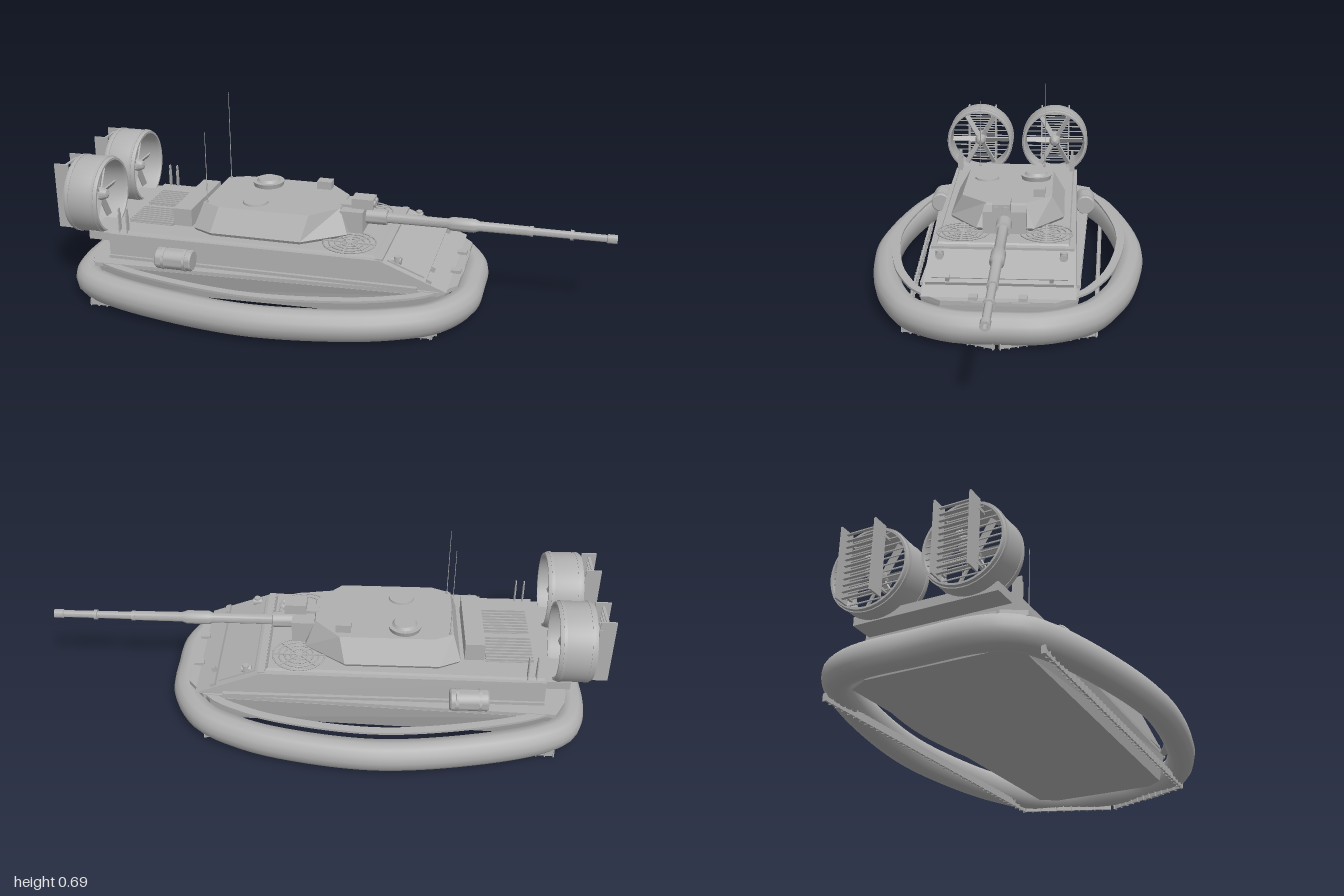
import * as THREE from 'three';
import { toCreasedNormals } from 'three/addons/utils/BufferGeometryUtils.js';

export function createModel() {
  const model = new THREE.Group();
  const grey = new THREE.MeshStandardMaterial({ color: 0xb0b0b0, side: THREE.DoubleSide });
  grey.name = 'plain grey';

  const add = (name, geo, parent = model) => {
    const mesh = new THREE.Mesh(geo, grey);
    mesh.name = name;
    parent.add(mesh);
    return mesh;
  };
  // box given by its limits on each axis
  const box = (name, x0, x1, y0, y1, z0, z1, parent) => {
    const m = add(name, new THREE.BoxGeometry(x1 - x0, y1 - y0, z1 - z0), parent);
    m.position.set((x0 + x1) / 2, (y0 + y1) / 2, (z0 + z1) / 2);
    return m;
  };
  // round part turned about the x axis, profile as [x, radius]
  const turned = (name, profile, y, z, parent, segments = 24) => {
    const geo = new THREE.LatheGeometry(profile.map(([x, r]) => new THREE.Vector2(r, x)), segments);
    geo.rotateZ(-Math.PI / 2);
    const m = add(name, toCreasedNormals(geo, 0.6), parent);
    m.position.set(0, y, z);
    return m;
  };
  const rod = (name, x0, x1, r, y, z, parent) => turned(name, [[x0, 0], [x0, r], [x1, r], [x1, 0]], y, z, parent, 16);
  const disc = (name, x, z, y0, y1, r0, r1, seg = 24) => {
    const m = add(name, new THREE.CylinderGeometry(r1, r0, y1 - y0, seg));
    m.position.set(x, (y0 + y1) / 2, z);
    return m;
  };
  // solid between two mirrored outlines, each half listed rear to front
  const loft = (name, lower, y0, upper, y1) => {
    const full = (half, y) => [...half, ...half.map(([x, z]) => [x, -z]).reverse()].map(([x, z]) => [x, y, z]);
    const a = full(lower, y0), b = full(upper, y1), n = a.length, p = [];
    for (let i = 0; i < n; i++) {
      const j = (i + 1) % n;
      p.push(...a[i], ...a[j], ...b[j], ...a[i], ...b[j], ...b[i]);
      if (i > 0 && i < n - 1) p.push(...b[0], ...b[i], ...b[j], ...a[0], ...a[j], ...a[i]);
    }
    const geo = new THREE.BufferGeometry();
    geo.setAttribute('position', new THREE.Float32BufferAttribute(p, 3));
    geo.computeVertexNormals();
    return add(name, geo);
  };

  // oval path shared by skirt and rim
  const half = [[0.495, 0.155], [0.412, 0.296], [0.285, 0.371], [0.13, 0.422], [-0.2, 0.465],
    [-0.55, 0.42], [-0.78, 0.35], [-0.856, 0.296], [-0.892, 0.2]];
  const loop = [[0.505, 0], ...half, [-0.895, 0], ...half.map(([x, z]) => [x, -z]).reverse()];
  const path = new THREE.CatmullRomCurve3(loop.map(([x, z]) => new THREE.Vector3(x, 0, z)), true);
  // closed cross-section [out, y] carried round the path
  const sweep = (name, section, crease) => {
    const pos = [], idx = [], n = section.length, steps = 112;
    for (let i = 0; i < steps; i++) {
      const c = path.getPointAt(i / steps), t = path.getTangentAt(i / steps);
      for (let j = 0; j < n; j++) {
        const [out, y] = section[j];
        pos.push(c.x + t.z * out, y, c.z - t.x * out);
        const k = (j + 1) % n, s = ((i + 1) % steps) * n, a = i * n;
        idx.push(a + j, a + k, s + k, a + j, s + k, s + j);
      }
    }
    const geo = new THREE.BufferGeometry();
    geo.setAttribute('position', new THREE.Float32BufferAttribute(pos, 3));
    geo.setIndex(idx);
    geo.computeVertexNormals();
    add(name, toCreasedNormals(geo, crease));
  };

  // inflated skirt and thin rim floating above it
  sweep('skirt', [[0.05, 0.065], [0.045, 0.09], [0.028, 0.11], [0, 0.118], [-0.028, 0.113],
    [-0.044, 0.09], [-0.044, 0.04], [-0.025, 0.017], [0, 0.012], [0.028, 0.018], [0.045, 0.04]], 0.9);
  sweep('skirtRim', [[-0.022, 0.137], [-0.022, 0.145], [-0.052, 0.145], [-0.052, 0.137]], 0.5);

  // straight ribbed flaps under the skirt
  const flap = (x0, z0, x1, z1) => {
    const length = Math.hypot(x1 - x0, z1 - z0), count = Math.round(length / 0.03);
    const g = new THREE.Group();
    g.name = 'groundFlap';
    g.position.set((x0 + x1) / 2, 0, (z0 + z1) / 2);
    g.rotation.y = Math.atan2(z0 - z1, x1 - x0);
    model.add(g);
    box('flapPlate', -length / 2, length / 2, 0.002, 0.028, -0.003, 0.003, g);
    for (let i = 0; i <= count; i++) {
      const x = (i / count - 0.5) * length;
      box('flapRib', x - 0.002, x + 0.002, 0, 0.026, -0.008, 0.008, g);
    }
  };
  for (const s of [1, -1]) {
    flap(0.53, s * 0.01, 0.41, s * 0.325);
    flap(0.41, s * 0.325, -0.82, s * 0.37);
  }

  // hull
  loft('lowerHull', [[-0.83, 0.22], [-0.79, 0.295], [0.39, 0.25], [0.43, 0.19]], 0.035,
    [[-0.845, 0.25], [-0.8, 0.322], [0.4, 0.268], [0.44, 0.2]], 0.134);
  const deck = [[-0.86, 0.25], [-0.82, 0.322], [0.42, 0.265], [0.48, 0.19]];
  loft('floorDeck', deck, 0.132, deck, 0.147);
  loft('hull', [[-0.785, 0.265], [0.45, 0.258]], 0.147, [[-0.785, 0.262], [0.215, 0.255]], 0.238);
  loft('deckPlate', [[-0.78, 0.25], [0.2, 0.235]], 0.237, [[-0.78, 0.245], [0.19, 0.23]], 0.247);
  box('deckBeam', 0.2, 0.225, 0.222, 0.243, -0.25, 0.25);
  const glacis = new THREE.Group();
  glacis.name = 'glacisFittings';
  glacis.position.set(0.33, 0.195, 0);
  glacis.rotation.z = -Math.atan2(0.091, 0.235);
  model.add(glacis);
  box('glacisPanel', -0.1, 0.04, -0.006, 0.004, -0.23, 0.23, glacis);
  box('waveBreaker', 0.05, 0.07, -0.008, 0.01, -0.25, 0.25, glacis);
  for (const s of [1, -1]) {
    box('towHook', 0.05, 0.065, 0, 0.028, s * 0.175 - 0.007, s * 0.175 + 0.007, glacis);
    box('noseStep', 0.44, 0.475, 0.14, 0.158, s * 0.083 - 0.015, s * 0.083 + 0.015);
    rod('headlight', 0.25, 0.285, 0.013, 0.228, s * 0.213);
    disc('deckLamp', 0.27, s * 0.215, 0.21, 0.245, 0.014, 0.012, 12);
    // side strips, drums and exhaust plates
    box('sideStrip', -0.785, 0.35, 0.147, 0.158, s * 0.265 - 0.008, s * 0.265 + 0.008);
    turned('sideDrum', [[-0.585, 0], [-0.585, 0.034], [-0.58, 0.038], [-0.455, 0.038], [-0.45, 0.034], [-0.45, 0]], 0.182, s * 0.296);
    for (const x of [-0.56, -0.48]) turned('drumStrap', [[x, 0.036], [x, 0.04], [x + 0.01, 0.04], [x + 0.01, 0.036]], 0.182, s * 0.296);
    for (const x of [-0.75, -0.72]) {
      box('exhaustPlate', x - 0.002, x + 0.002, 0.24, 0.31, s * 0.24 - 0.01, s * 0.24 + 0.01);
      box('exhaustTip', x - 0.002, x + 0.002, 0.31, 0.332, s * 0.24 - 0.006, s * 0.24 + 0.006);
    }
    // engine grille
    box('grilleTray', -0.75, -0.58, 0.246, 0.25, s * 0.088 - 0.072, s * 0.088 + 0.072);
    for (let i = 0; i < 8; i++) {
      const z = s * (0.022 + i * 0.0188);
      box('grilleSlat', -0.75, -0.58, 0.249, 0.258, z - 0.003, z + 0.003);
    }
    // round deck intake with spokes
    for (const r of [0.097, 0.076, 0.055, 0.034]) {
      const ring = add('intakeRing', new THREE.TorusGeometry(r - 0.003, 0.003, 6, 32));
      ring.rotation.x = Math.PI / 2;
      ring.position.set(0.085, 0.25, s * 0.15);
    }
    disc('intakeHub', 0.085, s * 0.15, 0.246, 0.255, 0.016, 0.014, 12);
    for (let i = 0; i < 4; i++) {
      const spoke = box('intakeSpoke', -0.094, 0.094, 0, 0.005, -0.003, 0.003);
      spoke.position.set(0.085, 0.25, s * 0.15);
      spoke.rotation.y = i * Math.PI / 4;
    }
  }

  // turret
  const shoulder = [[-0.49, 0.175], [-0.415, 0.212], [-0.08, 0.212], [0.065, 0.105]];
  loft('turretBase', [[-0.48, 0.17], [-0.41, 0.205], [-0.085, 0.205], [0.055, 0.1]], 0.245, shoulder, 0.258);
  loft('turret', shoulder, 0.258, [[-0.463, 0.135], [-0.395, 0.166], [-0.06, 0.166], [0.03, 0.07]], 0.343);
  box('stowageBin', -0.575, -0.505, 0.25, 0.316, -0.155, 0.155);
  disc('commanderHatch', -0.29, -0.1, 0.34, 0.36, 0.055, 0.06);
  disc('commanderHatchLid', -0.29, -0.1, 0.36, 0.37, 0.045, 0.038);
  disc('loaderHatch', -0.28, 0.09, 0.34, 0.35, 0.047, 0.045);
  box('roofSight', -0.1, -0.045, 0.34, 0.373, -0.14, -0.098);
  box('gunSight', 0.065, 0.145, 0.335, 0.372, -0.022, 0.042);
  box('gunSightBracket', 0.02, 0.09, 0.31, 0.345, -0.015, 0.035);
  for (const z of [-0.005, 0.028]) rod('sightLens', 0.14, 0.152, 0.011, 0.355, z);
  for (const z of [-0.13, 0.13]) {
    disc('aerialBase', -0.45, z, 0.27, 0.35, 0.006, 0.005, 8);
    disc('aerial', -0.45, z, 0.35, z < 0 ? 0.685 : 0.61, 0.0016, 0.001, 6);
  }

  // gun
  box('mantlet', 0.03, 0.115, 0.255, 0.335, -0.078, 0.078);
  turned('gunBarrel', [[0.11, 0], [0.11, 0.028], [0.19, 0.028], [0.192, 0.019], [0.41, 0.018], [0.425, 0.025], [0.505, 0.025],
    [0.525, 0.018], [0.7, 0.017], [0.702, 0.014], [0.965, 0.013], [0.967, 0.016], [1, 0.016], [1, 0.008], [0.96, 0.008], [0.96, 0]], 0.295, 0);
  for (const x of [0.7, 0.84]) rod('barrelBand', x, x + 0.012, 0.019, 0.295, 0);

  // ducted fans
  box('fanBase', -0.87, -0.78, 0.205, 0.235, -0.25, 0.25);
  for (const s of [1, -1]) {
    const fan = new THREE.Group();
    fan.name = 'ductedFan';
    fan.position.set(0, 0.35, s * 0.163);
    model.add(fan);
    turned('duct', [[-0.935, 0.13], [-0.935, 0.137], [-0.92, 0.141], [-0.82, 0.141], [-0.808, 0.137],
      [-0.808, 0.129], [-0.82, 0.126], [-0.92, 0.126], [-0.935, 0.13]], 0, 0, fan, 40);
    for (const x of [-0.925, -0.83]) turned('ductBand', [[x, 0.139], [x, 0.143], [x + 0.01, 0.143], [x + 0.01, 0.139]], 0, 0, fan, 40);
    turned('fanHub', [[-0.92, 0], [-0.92, 0.022], [-0.85, 0.024], [-0.83, 0.016], [-0.822, 0]], 0, 0, fan, 16);
    for (let i = 0; i < 6; i++) {
      const arm = new THREE.Group();
      arm.name = 'fanArm';
      arm.rotation.x = i * Math.PI / 3;
      arm.position.x = -0.86;
      fan.add(arm);
      box('fanBlade', -0.003, 0.003, -0.011, 0.011, 0.015, 0.122, arm).rotation.z = 0.6;
    }
    // rear guard bars
    for (let i = -5; i <= 5; i++) {
      const y = i * 0.022, w = Math.sqrt(0.13 ** 2 - y * y);
      box('guardBar', -0.93, -0.926, y - 0.002, y + 0.002, -w, w, fan);
    }
    // rudder frame with slats
    for (const z of [-0.06, 0.06]) {
      box('rudder', -1, -0.945, -0.12, 0.125, z - 0.003, z + 0.003, fan);
      for (const y of [-0.09, 0.09]) box('rudderArm', -0.955, -0.92, y - 0.005, y + 0.005, z - 0.004, z + 0.004, fan);
    }
    for (let i = -5; i <= 5; i++) box('rudderSlat', -0.978, -0.968, i * 0.022 - 0.002, i * 0.022 + 0.002, -0.06, 0.06, fan);
  }
  return model;
}
